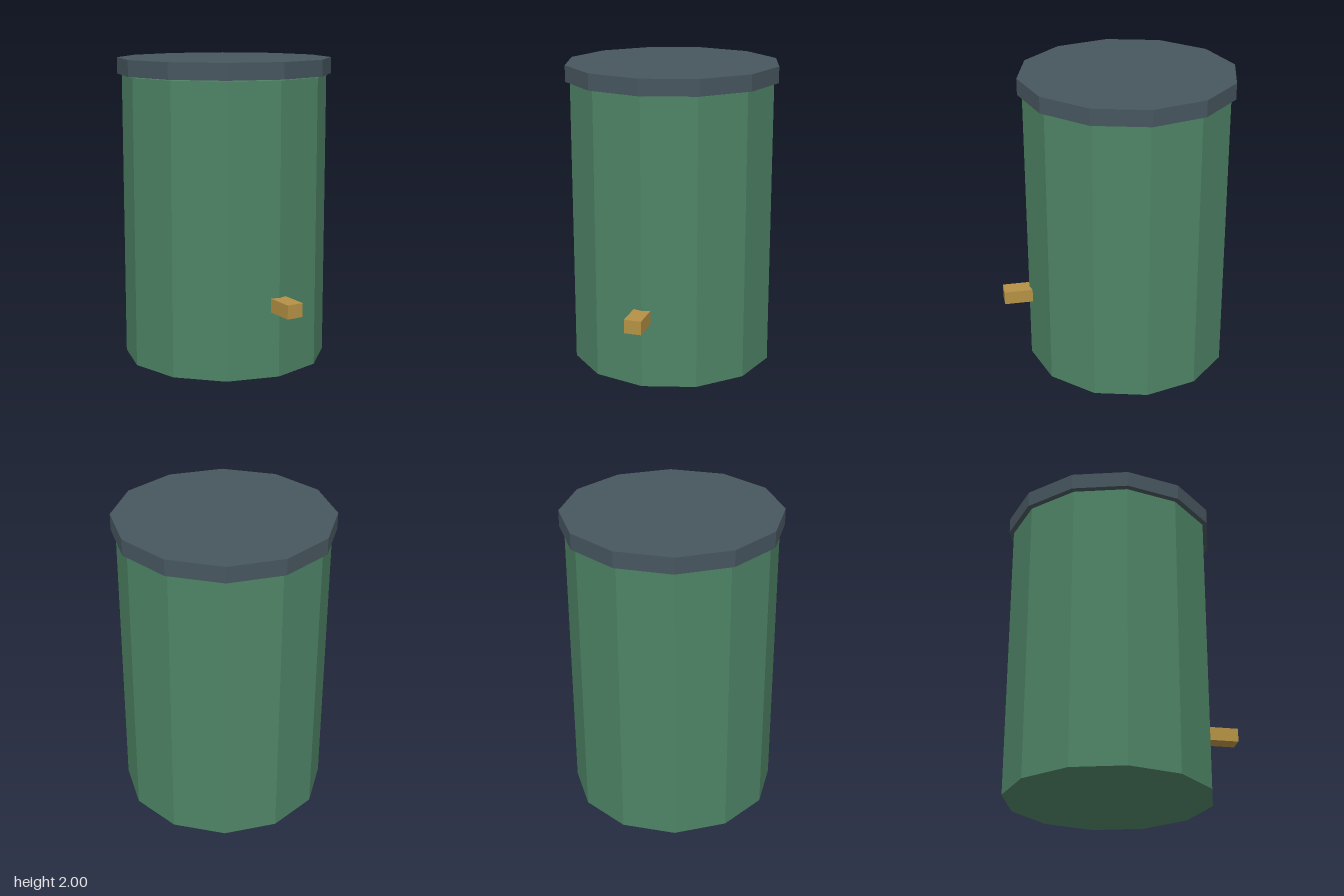
import * as THREE from 'three';

const SIDES = 12;
const AXIS_Z = -0.072; // barrel axis sits behind centre, balancing the tap

export function createModel() {
  const group = new THREE.Group();
  const barrelGreen = new THREE.MeshStandardMaterial({ color: 0x4e8466, flatShading: true });
  const lidSlate = new THREE.MeshStandardMaterial({ color: 0x47565f, flatShading: true });
  const tapBrass = new THREE.MeshStandardMaterial({ color: 0xb59145, flatShading: true });
  barrelGreen.name = 'barrelGreen';
  lidSlate.name = 'lidSlate';
  tapBrass.name = 'tapBrass';

  const addPart = (name, geometry, material, y, z) => {
    const mesh = new THREE.Mesh(geometry, material);
    mesh.name = name;
    mesh.position.set(0, y, z);
    group.add(mesh);
  };

  // Twelve-sided drum with a corner facing the front
  const drum = (radius, height) => new THREE.CylinderGeometry(radius, radius, height, SIDES);

  addPart('barrel', drum(0.675, 1.887), barrelGreen, 1.887 / 2, AXIS_Z);

  // Wider lid, hovering a hair above the barrel
  addPart('lid', drum(0.705, 0.106), lidSlate, 2 - 0.106 / 2, AXIS_Z);

  // Square tap, its back end sunk into the front corner
  addPart('tap', new THREE.BoxGeometry(0.112, 0.09, 0.197), tapBrass, 0.475, 0.6785);

  return group;
}
